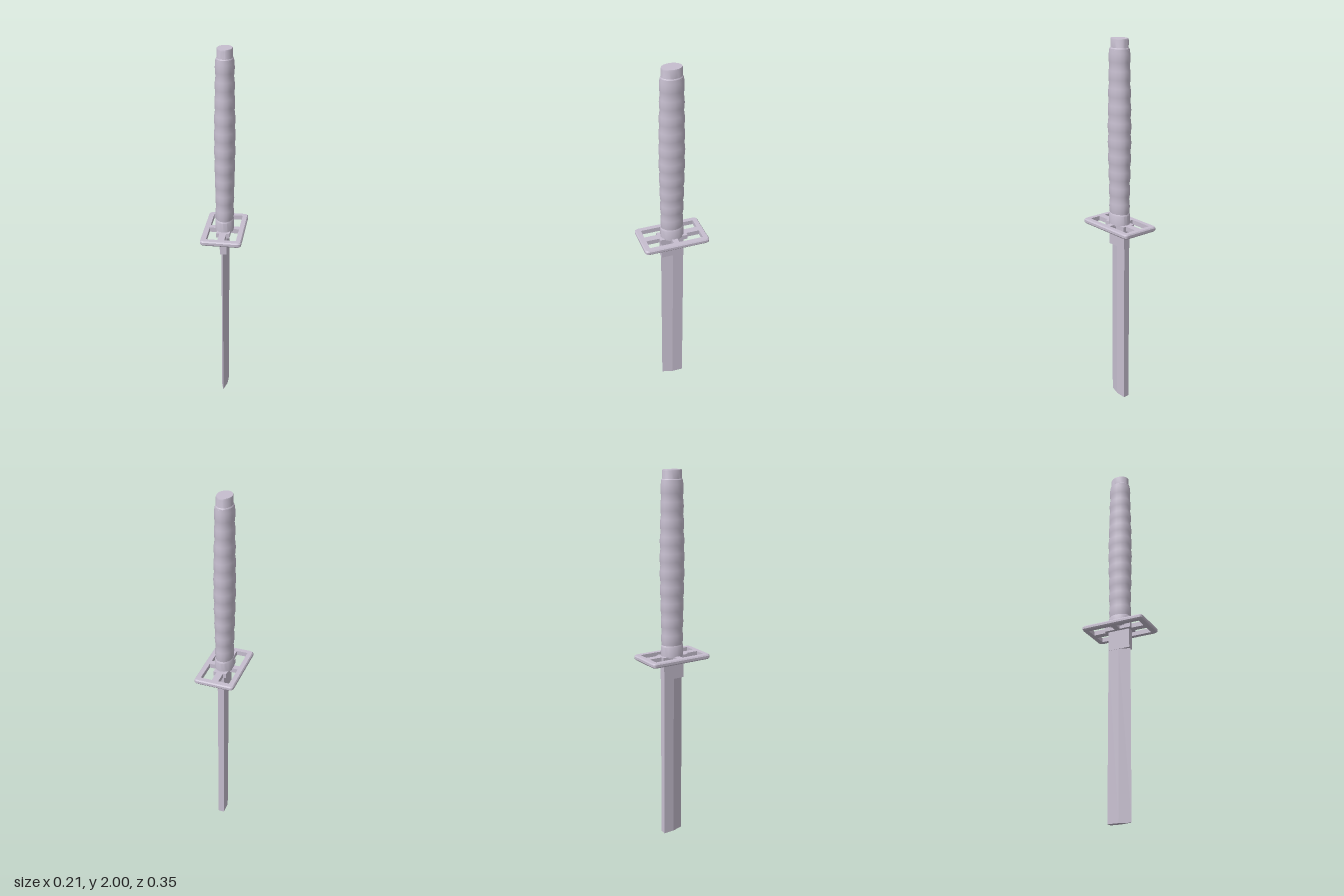
import * as THREE from 'three';
import { toCreasedNormals } from 'three/addons/utils/BufferGeometryUtils.js';

const steel = new THREE.MeshStandardMaterial({ color: 0xc6becf });
steel.name = 'pale lilac grey';

const shapeOf = (pts) => new THREE.Shape(pts.map(([x, y]) => new THREE.Vector2(x, y)));

// Upright prism: shape x stays x, shape y becomes -z
function prism(shape, y0, y1, steps = 1) {
  const g = new THREE.ExtrudeGeometry(shape, { depth: y1 - y0, steps, bevelEnabled: false, curveSegments: 5 });
  return g.rotateX(-Math.PI / 2).translate(0, y0, 0);
}

// Lathe widened front to back by a constant amount, giving an oval section
function oval(profile, segments) {
  const g = new THREE.LatheGeometry(profile.map(([r, y]) => new THREE.Vector2(r, y)), segments);
  const p = g.attributes.position;
  for (let i = 0; i < p.count; i++) {
    const r = Math.hypot(p.getX(i), p.getZ(i));
    if (r > 1e-5) p.setZ(i, p.getZ(i) * (r + 0.013) / r);
  }
  return toCreasedNormals(g, 0.6);
}

function guardGeometry() {
  const w = 0.107, d = 0.177, c = 0.02;
  const s = new THREE.Shape();
  s.moveTo(-w + c, -d);
  s.lineTo(w - c, -d).quadraticCurveTo(w, -d, w, -d + c);
  s.lineTo(w, d - c).quadraticCurveTo(w, d, w - c, d);
  s.lineTo(-w + c, d).quadraticCurveTo(-w, d, -w, d - c);
  s.lineTo(-w, -d + c).quadraticCurveTo(-w, -d, -w + c, -d);
  // Four stepped windows, mirrored about both axes
  const win = [[0.018, 0.147], [0.078, 0.147], [0.078, 0.015], [0.035, 0.015], [0.035, 0.076], [0.018, 0.076]];
  for (const sx of [-1, 1]) for (const sy of [-1, 1]) {
    s.holes.push(new THREE.Path(win.map(([x, y]) => new THREE.Vector2(x * sx, y * sy))));
  }
  const y0 = 1.017, y1 = 1.042;
  const g = prism(s, y0, y1, 4);
  // Chamfer the outer rim only
  const p = g.attributes.position;
  for (let i = 0; i < p.count; i++) {
    const x = p.getX(i), y = p.getY(i), z = p.getZ(i);
    const rim = Math.abs(x) > 0.085 || Math.abs(z) > 0.155;
    if (rim && (y < y0 + 0.001 || y > y1 - 0.001)) {
      p.setX(i, x * (1 - 0.005 / w));
      p.setZ(i, z * (1 - 0.005 / d));
    }
  }
  g.computeVertexNormals();
  return g;
}

export function createModel() {
  const model = new THREE.Group();
  model.name = 'shortSword';
  const add = (name, geometry) => {
    const m = new THREE.Mesh(geometry, steel);
    m.name = name;
    model.add(m);
  };

  // Blade: flat spine half, then a bevel to the front edge
  add('blade', prism(shapeOf([[0, -0.061], [0.017, 0], [0.017, 0.06], [-0.017, 0.06], [-0.017, 0]]), 0, 0.912));
  add('bladeCollar', new THREE.BoxGeometry(0.036, 0.115, 0.123).translate(0, 0.9675, 0.001));
  add('guard', guardGeometry());

  // Collar where the grip meets the guard
  add('gripCollar', oval([[0, 1.035], [0.05, 1.035], [0.05, 1.092], [0.046, 1.1], [0, 1.1]], 16));

  // Grip: ten shallow ripples on a gentle swell
  const grip = [];
  const bumps = 10, per = 4;
  for (let i = 0; i <= bumps * per; i++) {
    const t = i / (bumps * per);
    const swell = 0.0445 + 0.0065 * Math.sin(Math.PI * t) ** 2;
    grip.push([swell + 0.004 * Math.abs(Math.sin(Math.PI * t * bumps)), 1.09 + 0.86 * t]);
  }
  add('grip', oval(grip, 16));

  // Pommel cap
  add('pommel', oval([[0.0445, 1.945], [0.042, 1.952], [0.0395, 1.955], [0.0395, 1.994], [0.0375, 2], [0, 2]], 28));
  return model;
}
